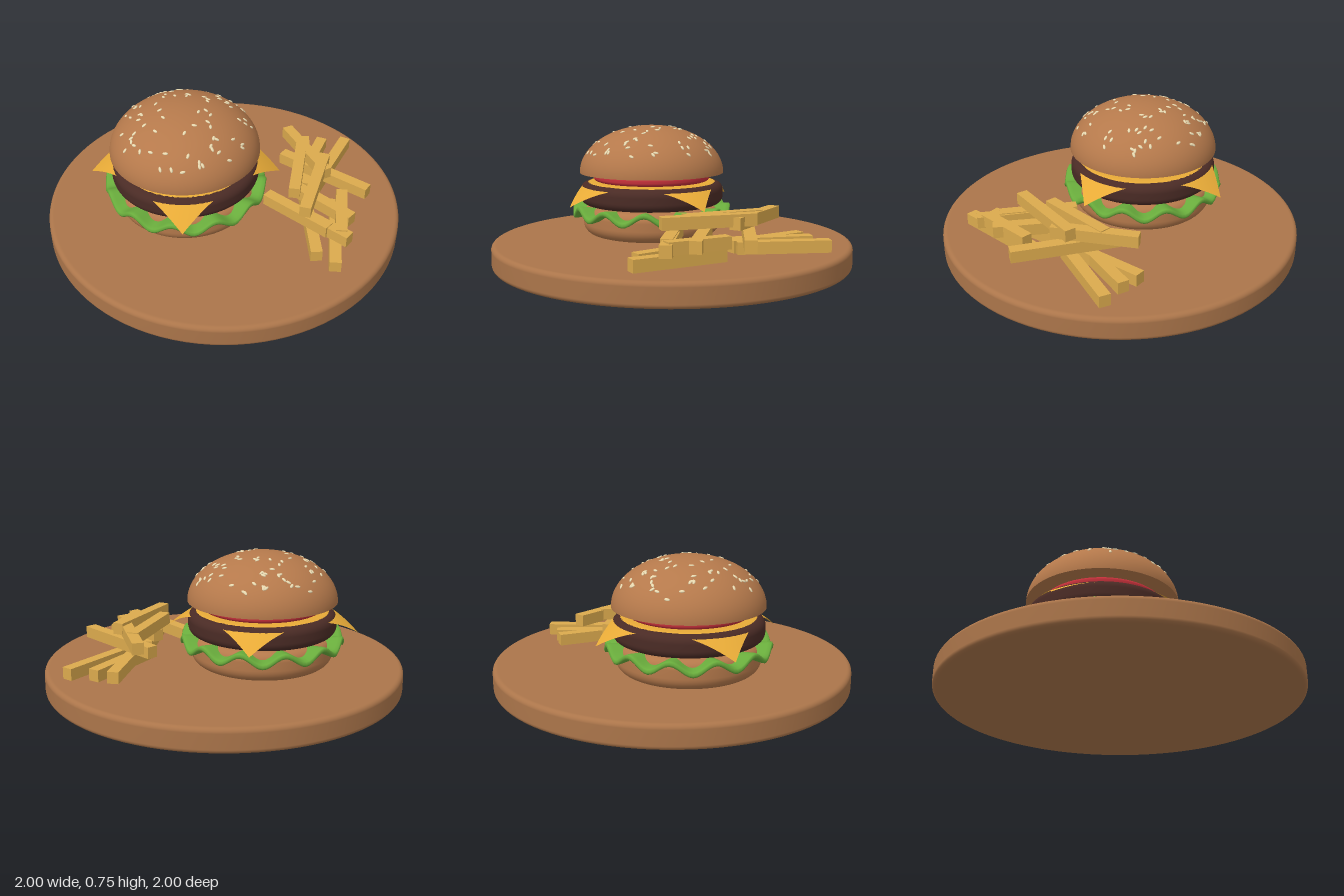
import * as THREE from 'three';
import { mergeGeometries } from 'three/addons/utils/BufferGeometryUtils.js';

const mat = (name, color, side = THREE.FrontSide) => {
  const m = new THREE.MeshStandardMaterial({ color, side });
  m.name = name;
  return m;
};

// Round slab with rounded lower and upper rims
function roundedDisc(radius, y0, y1, rLow, rHigh, segments = 72) {
  const pts = [new THREE.Vector2(0, y0), new THREE.Vector2(radius - rLow - 0.005, y0)];
  const arc = (cy, r, from) => {
    for (let i = 0; i <= 8; i++) {
      const a = from + (i / 8) * Math.PI / 2;
      pts.push(new THREE.Vector2(radius - r + r * Math.cos(a), cy + r * Math.sin(a)));
    }
  };
  arc(y0 + rLow, rLow, -Math.PI / 2);
  arc(y1 - rHigh, rHigh, 0);
  pts.push(new THREE.Vector2(radius - rHigh - 0.005, y1), new THREE.Vector2(0, y1));
  return new THREE.LatheGeometry(pts, segments);
}

// Leaf with a rippled rim: the ripple grows with the radius
function lettuceGeometry() {
  const profile = [[0.2, 0.258], [0.3, 0.258], [0.38, 0.256], [0.43, 0.253], [0.45, 0.255],
    [0.456, 0.268], [0.45, 0.281], [0.43, 0.284], [0.38, 0.282], [0.3, 0.28], [0.2, 0.28]];
  const geo = new THREE.LatheGeometry(profile.map(p => new THREE.Vector2(...p)), 144);
  const pos = geo.attributes.position;
  for (let i = 0; i < pos.count; i++) {
    const x = pos.getX(i), z = pos.getZ(i);
    const k = Math.hypot(x, z) / 0.456;
    pos.setY(i, pos.getY(i) + 0.028 * k * k * Math.sin(12 * Math.atan2(z, x)));
  }
  geo.computeVertexNormals();
  return geo;
}

// Square slice turned 45 degrees with drooping corners
function cheeseGeometry() {
  const side = 0.53 * Math.SQRT2;
  const geo = new THREE.PlaneGeometry(side, side, 40, 40);
  geo.rotateX(-Math.PI / 2);
  geo.rotateY(Math.PI / 4);
  const pos = geo.attributes.position;
  for (let i = 0; i < pos.count; i++) {
    const r = Math.hypot(pos.getX(i), pos.getZ(i));
    pos.setY(i, 0.433 - 0.113 * Math.pow(Math.max(0, r - 0.36) / 0.17, 1.2));
  }
  geo.computeVertexNormals();
  return geo;
}

// Sesame seeds scattered over the dome
function seedsGeometry(radius, y0, height) {
  let s = 7;
  const rand = () => (s = (s * 16807) % 2147483647) / 2147483647;
  const up = new THREE.Vector3(0, 1, 0);
  const list = [];
  for (let i = 0; i < 90; i++) {
    const v = 0.43 + 0.55 * rand(), a = rand() * Math.PI * 2;
    const c = Math.sqrt(1 - v * v);
    const p = new THREE.Vector3(radius * c * Math.cos(a), y0 + height * v, radius * c * Math.sin(a));
    const n = new THREE.Vector3(c * Math.cos(a) / radius, v / height, c * Math.sin(a) / radius).normalize();
    const q = new THREE.Quaternion().setFromUnitVectors(up, n);
    q.multiply(new THREE.Quaternion().setFromAxisAngle(up, rand() * Math.PI));
    const g = new THREE.SphereGeometry(1, 8, 6);
    list.push(g.applyMatrix4(new THREE.Matrix4().compose(p, q, new THREE.Vector3(0.016, 0.005, 0.008))));
  }
  return mergeGeometries(list);
}

// Fries: x and z of both ends, then the base height
const FRIES = [
  [0.50, -0.51, 0.49, -0.04, 0.13], [0.61, -0.49, 0.43, -0.06, 0.13],
  [0.755, -0.49, 0.53, -0.05, 0.13], [0.575, 0.61, 0.625, 0.10, 0.13],
  [0.485, 0.53, 0.46, 0.03, 0.13],
  [0.35, -0.26, 0.81, 0.08, 0.197], [0.24, 0.12, 0.56, 0.40, 0.197],
  [0.40, 0.25, 0.66, 0.47, 0.192], [0.39, 0.04, 0.69, 0.32, 0.2],
  [0.66, 0.10, 0.62, 0.44, 0.2],
  [0.385, -0.42, 0.58, 0.00, 0.265], [0.46, -0.26, 0.385, 0.18, 0.27],
  [0.58, -0.13, 0.43, 0.35, 0.28],
];

export function createModel() {
  const model = new THREE.Group();
  model.name = 'burgerMeal';
  const wood = mat('wood brown', 0xab754a);
  const bun = mat('bun brown', 0xb5794b);
  const patty = mat('patty brown', 0x4a2b25);
  const green = mat('lettuce green', 0x69ac3c, THREE.DoubleSide);
  const red = mat('tomato red', 0xc4303a);
  const yellow = mat('cheese yellow', 0xebad38, THREE.DoubleSide);
  const cream = mat('seed cream', 0xe8d9b0);
  const gold = mat('fry gold', 0xdbaa4d);

  const add = (parent, name, geo, material) => {
    const m = new THREE.Mesh(geo, material);
    m.name = name;
    parent.add(m);
    return m;
  };

  add(model, 'board', roundedDisc(1, 0, 0.13, 0.025, 0.025, 96), wood);

  // Burger stack
  const burger = new THREE.Group();
  burger.name = 'burger';
  burger.position.x = -0.215;
  model.add(burger);
  add(burger, 'bottomBun', roundedDisc(0.395, 0.13, 0.295, 0.07, 0.05), bun);
  add(burger, 'lettuce', lettuceGeometry(), green);
  add(burger, 'patty', roundedDisc(0.412, 0.305, 0.43, 0.045, 0.045), patty);
  add(burger, 'cheese', cheeseGeometry(), yellow);
  add(burger, 'tomato', roundedDisc(0.335, 0.438, 0.486, 0.02, 0.02), red);

  // Domed top bun with a flat underside
  const R = 0.415, Y = 0.485, H = 0.27;
  const dome = new THREE.SphereGeometry(1, 72, 24, 0, Math.PI * 2, 0, Math.PI / 2);
  dome.scale(R, H, R).translate(0, Y, 0);
  add(burger, 'topBun', dome, bun);
  add(burger, 'topBunUnderside', new THREE.CircleGeometry(R, 72).rotateX(Math.PI / 2).translate(0, Y, 0), bun);
  add(burger, 'sesameSeeds', seedsGeometry(R, Y, H), cream);

  // Pile of fries
  const fries = new THREE.Group();
  fries.name = 'fries';
  model.add(fries);
  for (const [x0, z0, x1, z1, y] of FRIES) {
    const fry = add(fries, 'fry', new THREE.BoxGeometry(0.062, 0.065, Math.hypot(x1 - x0, z1 - z0)), gold);
    fry.position.set((x0 + x1) / 2, y + 0.0325, (z0 + z1) / 2);
    fry.rotation.y = Math.atan2(x1 - x0, z1 - z0);
  }
  return model;
}
